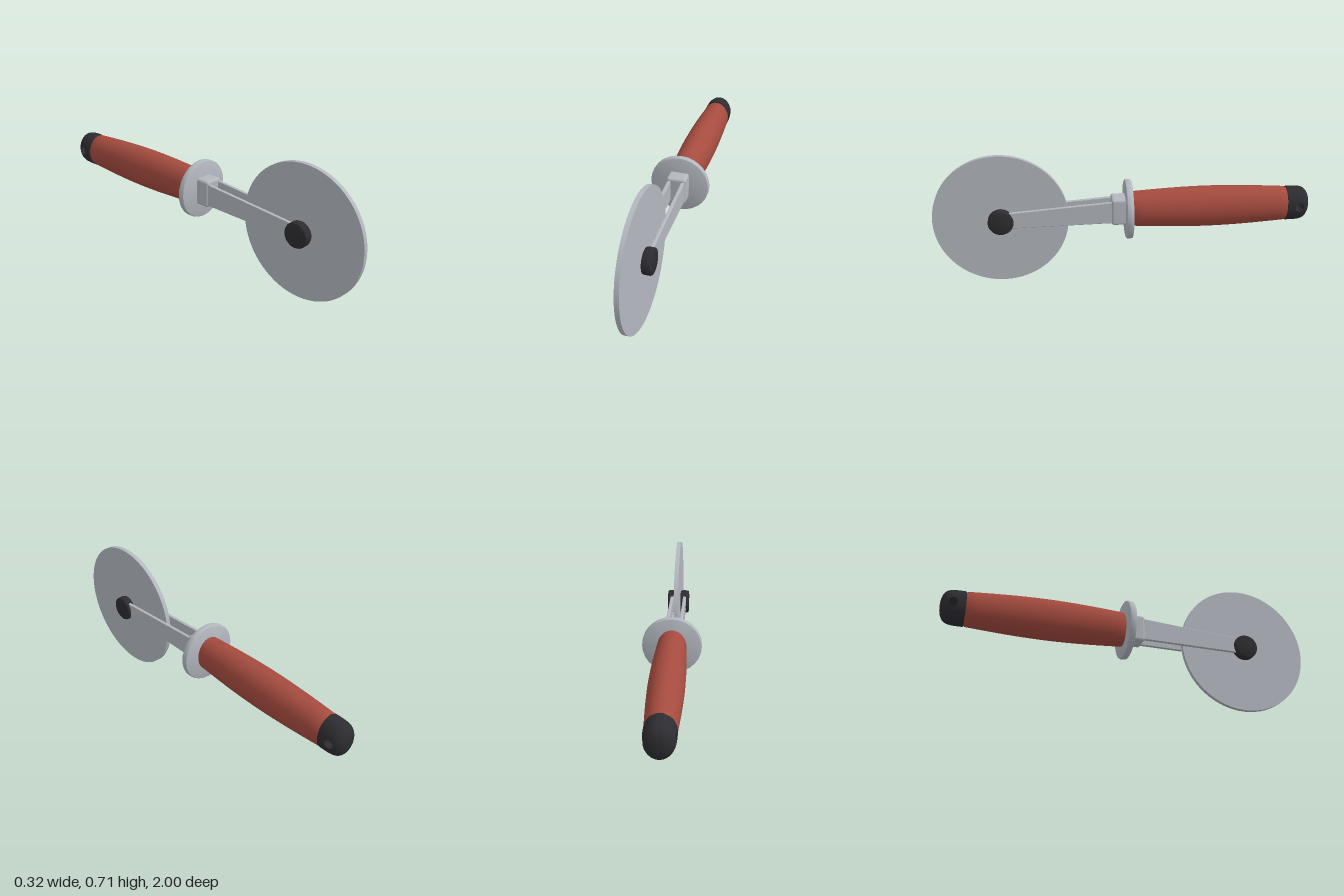
import * as THREE from 'three';
import { toCreasedNormals } from 'three/addons/utils/BufferGeometryUtils.js';
import { RoundedBoxGeometry } from 'three/addons/geometries/RoundedBoxGeometry.js';

const AXIS_Y = 0.388;                      // height of the handle axis
const WHEEL = { y: 0.356, z: 0.645, r: 0.355 };
const FLAT = 0.81;                         // handle is an oval: width / height

const steel = new THREE.MeshStandardMaterial({ color: 0xb3b8bf });
steel.name = 'steel';
const red = new THREE.MeshStandardMaterial({ color: 0xa54b3f });
red.name = 'red grip';
const black = new THREE.MeshStandardMaterial({ color: 0x2d2d31 });
black.name = 'black plastic';

// Lathe from [radius, distance] pairs, smooth except at sharp edges
function turned(profile, sides) {
  const pts = profile.map(([r, d]) => new THREE.Vector2(r, d));
  return new THREE.LatheGeometry(pts, sides);
}

// Disc with slightly rounded rims, from distance a to b along its axis
function roundedDisc(r, a, b, e, sides) {
  return turned([
    [0, a], [r - e, a], [r - e * 0.3, a + e * 0.3], [r, a + e],
    [r, b - e], [r - e * 0.3, b - e * 0.3], [r - e, b], [0, b],
  ], sides);
}

// End cap with a real hanging hole through it: closed loops run from the hole
// rim over one side, round the outline, back over the other side and through.
function endCapGeometry() {
  const z0 = -0.875, len = 0.125, holeZ = -0.94, holeR = 0.024, steps = 12;
  const radius = (z) => {
    const u = Math.min(1, Math.max(0, (z0 - z) / len));
    return 0.094 * Math.pow(1 - u ** 5, 0.45);
  };
  const outline = [];
  for (let i = 0; i < 12; i++) outline.push([z0, 0.094 * (i / 6 - 1)]);
  for (let i = 0; i < 24; i++) {
    const z = z0 - len * Math.sin((i / 24) * Math.PI / 2);
    outline.push([z, radius(z)]);
  }
  for (let i = 24; i > 0; i--) {
    const z = z0 - len * Math.sin((i / 24) * Math.PI / 2);
    outline.push([z, -radius(z)]);
  }
  const ring = (t, side) => outline.map(([z, y]) => {
    const k = holeR / Math.hypot(z - holeZ, y);
    const s = k + (1 - k) * Math.sin(t * Math.PI / 2);
    const pz = holeZ + (z - holeZ) * s, py = y * s;
    const h = FLAT * Math.sqrt(Math.max(0, radius(pz) ** 2 - py * py));
    return [side * h, py + AXIS_Y, pz];
  });
  const rings = [];
  for (let i = 0; i <= steps; i++) rings.push(ring(i / steps, 1));
  for (let i = steps; i >= 0; i--) rings.push(ring(i / steps, -1));

  const n = outline.length, index = [];
  for (let j = 0; j < rings.length; j++) {
    const a = j * n, b = ((j + 1) % rings.length) * n;
    for (let k = 0; k < n; k++) {
      const m = (k + 1) % n;
      index.push(a + k, a + m, b + k, a + m, b + m, b + k);
    }
  }
  const g = new THREE.BufferGeometry();
  g.setAttribute('position', new THREE.Float32BufferAttribute(rings.flat(2), 3));
  g.setIndex(index);
  return toCreasedNormals(g, 0.8);
}

export function createModel() {
  const model = new THREE.Group();
  model.name = 'pizzaCutter';
  const add = (name, geometry, material) => {
    const mesh = new THREE.Mesh(geometry, material);
    mesh.name = name;
    model.add(mesh);
    return mesh;
  };

  // Cutting wheel
  const wheel = new THREE.CylinderGeometry(WHEEL.r, WHEEL.r, 0.024, 72);
  wheel.rotateZ(Math.PI / 2).translate(0, WHEEL.y, WHEEL.z);
  add('wheel', wheel, steel);

  // Axle inside the hubs
  const axle = new THREE.CylinderGeometry(0.02, 0.02, 0.1, 20);
  axle.rotateZ(Math.PI / 2).translate(0, WHEEL.y, WHEEL.z);
  add('axle', axle, steel);

  // Arm outline, drawn in (z, y)
  const arm = new THREE.Shape();
  arm.moveTo(0.02, 0.33);
  arm.lineTo(WHEEL.z, 0.321);
  arm.absarc(WHEEL.z, 0.36, 0.039, -Math.PI / 2, Math.PI / 2, false);
  arm.lineTo(0.02, 0.446);
  arm.closePath();

  for (const side of [1, -1]) {
    const label = side > 0 ? 'left' : 'right';

    // Hub beside the wheel
    const hub = roundedDisc(0.067, -0.0245, 0.0245, 0.009, 32);
    hub.rotateZ(Math.PI / 2).translate(side * 0.0375, WHEEL.y, WHEEL.z);
    add(label + 'Hub', toCreasedNormals(hub, 0.6), black);

    // Fork arm
    const bar = new THREE.ExtrudeGeometry(arm, {
      depth: 0.01, bevelThickness: 0.004, bevelSize: 0.003, bevelSegments: 2, curveSegments: 12,
    });
    bar.translate(0, 0, -0.005).rotateY(-Math.PI / 2).translate(side * 0.037, 0, 0);
    add(label + 'Arm', toCreasedNormals(bar, 0.5), steel);
  }

  // Block joining the arms
  const block = new RoundedBoxGeometry(0.104, 0.146, 0.095, 4, 0.014);
  block.translate(0, AXIS_Y, 0.0175);
  add('forkBlock', block, steel);

  // Finger guard
  const guard = roundedDisc(0.158, 0.009, 0.045, 0.008, 28);
  guard.rotateX(-Math.PI / 2).translate(0, AXIS_Y, 0);
  add('guard', toCreasedNormals(guard, 0.6), steel);

  // Oval grip, swelling towards the middle
  const profile = [[0, 0.04], [0.088, 0.04], [0.095, 0.048]];
  for (let i = 1; i < 16; i++) {
    const t = i / 16;
    profile.push([0.095 - 0.002 * t + 0.017 * Math.sin(Math.PI * t), 0.048 + 0.818 * t]);
  }
  profile.push([0.093, 0.866], [0.087, 0.875], [0, 0.875]);
  const grip = turned(profile, 40);
  grip.rotateX(-Math.PI / 2).scale(FLAT, 1, 1).translate(0, AXIS_Y, 0);
  add('grip', toCreasedNormals(grip, 0.6), red);

  // End cap with hanging hole
  add('endCap', endCapGeometry(), black);

  return model;
}
